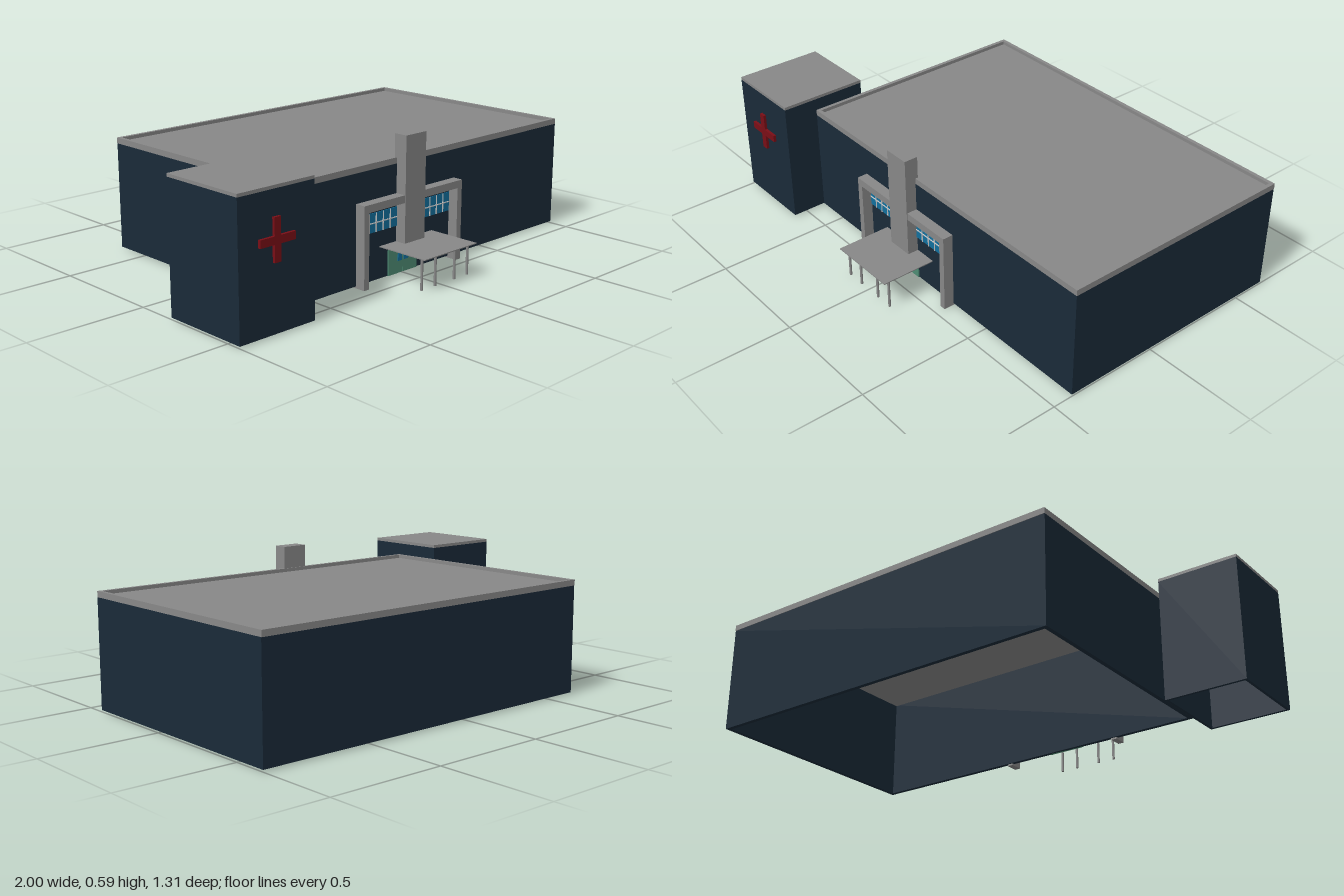
import * as THREE from 'three';

const paint = (color) => new THREE.MeshStandardMaterial({ color });
const grey = paint(0x888888);
const navy = paint(0x1a2a38);
const red = paint(0x7a0e16);
const blue = paint(0x12709e);
const green = paint(0x4e8c74);
const white = paint(0xcccccc);

export function createModel() {
  const model = new THREE.Group();

  // Box given by its low and high corner on each axis
  const box = (name, mat, x0, x1, y0, y1, z0, z1, parent = model) => {
    const mesh = new THREE.Mesh(new THREE.BoxGeometry(x1 - x0, y1 - y0, z1 - z0), mat);
    mesh.position.set((x0 + x1) / 2, (y0 + y1) / 2, (z0 + z1) / 2);
    mesh.name = name;
    parent.add(mesh);
  };

  // Rectangular ring of walls, open above and below
  const ring = (name, mat, x0, x1, y0, y1, z0, z1, t) => {
    const rect = (Path, i) => new Path([
      new THREE.Vector2(x0 + i, -z1 + i), new THREE.Vector2(x1 - i, -z1 + i),
      new THREE.Vector2(x1 - i, -z0 - i), new THREE.Vector2(x0 + i, -z0 - i),
    ]);
    const shape = rect(THREE.Shape, 0);
    shape.holes.push(rect(THREE.Path, t));
    const geo = new THREE.ExtrudeGeometry(shape, { depth: y1 - y0, bevelEnabled: false });
    geo.rotateX(-Math.PI / 2).translate(0, y0, 0);
    const mesh = new THREE.Mesh(geo, mat);
    mesh.name = name;
    model.add(mesh);
  };

  // Main hall: hollow walls, roof slab and raised parapet
  ring('hallWalls', navy, -0.64, 1, 0.008, 0.467, -0.65, 0.412, 0.018);
  ring('hallParapet', grey, -0.64, 1, 0.467, 0.492, -0.652, 0.412, 0.016);
  box('hallRoof', grey, -0.624, 0.984, 0.462, 0.477, -0.636, 0.396);

  // Side tower with flat cap and cross
  ring('towerWalls', navy, -1, -0.641, 0.008, 0.544, 0.177, 0.565, 0.012);
  box('towerRoof', grey, -1, -0.641, 0.544, 0.557, 0.177, 0.565);
  const cross = new THREE.Group();
  cross.name = 'cross';
  model.add(cross);
  box('crossBar', red, -0.909, -0.743, 0.345, 0.376, 0.565, 0.577, cross);
  box('crossUpperArm', red, -0.843, -0.813, 0.376, 0.445, 0.565, 0.577, cross);
  box('crossLowerArm', red, -0.843, -0.813, 0.278, 0.345, 0.565, 0.577, cross);

  // Entrance portal: two legs, a beam and the tall central pillar
  const portal = new THREE.Group();
  portal.name = 'portal';
  model.add(portal);
  box('portalLeg', grey, -0.276, -0.249, 0, 0.313, 0.4, 0.458, portal);
  box('portalLeg', grey, 0.274, 0.301, 0, 0.313, 0.4, 0.458, portal);
  box('portalBeam', grey, -0.276, 0.301, 0.313, 0.345, 0.4, 0.458, portal);
  box('pillar', grey, -0.048, 0.069, 0.142, 0.588, 0.4, 0.461, portal);

  // Window bands either side of the pillar, with glazing bars
  for (const [x0, x1] of [[-0.249, -0.048], [0.069, 0.27]]) {
    const band = new THREE.Group();
    band.name = 'windowBand';
    model.add(band);
    box('glass', blue, x0, x1, 0.21, 0.29, 0.405, 0.416, band);
    box('glazingBar', white, x0, x1, 0.247, 0.251, 0.41, 0.419, band);
    for (let i = 1; i < 5; i++) {
      const x = x0 + (x1 - x0) * i / 5;
      box('mullion', white, x - 0.002, x + 0.002, 0.21, 0.29, 0.41, 0.419, band);
    }
  }

  // Double entrance door with small panes
  const door = new THREE.Group();
  door.name = 'door';
  model.add(door);
  box('doorLeaf', green, -0.095, -0.013, 0.008, 0.14, 0.405, 0.417, door);
  box('doorLeaf', green, -0.011, 0.073, 0.008, 0.14, 0.405, 0.417, door);
  box('doorPane', blue, -0.041, -0.018, 0.06, 0.122, 0.41, 0.42, door);
  box('doorPane', blue, -0.006, 0.019, 0.06, 0.122, 0.41, 0.42, door);

  // Thin canopy on a row of four posts
  box('canopy', grey, -0.143, 0.168, 0.14, 0.144, 0.412, 0.653);
  for (const x of [-0.123, -0.044, 0.071, 0.15]) {
    const post = new THREE.Mesh(new THREE.CylinderGeometry(0.0055, 0.0055, 0.134, 12), grey);
    post.position.set(x, 0.074, 0.621);
    post.name = 'canopyPost';
    model.add(post);
  }
  return model;
}
